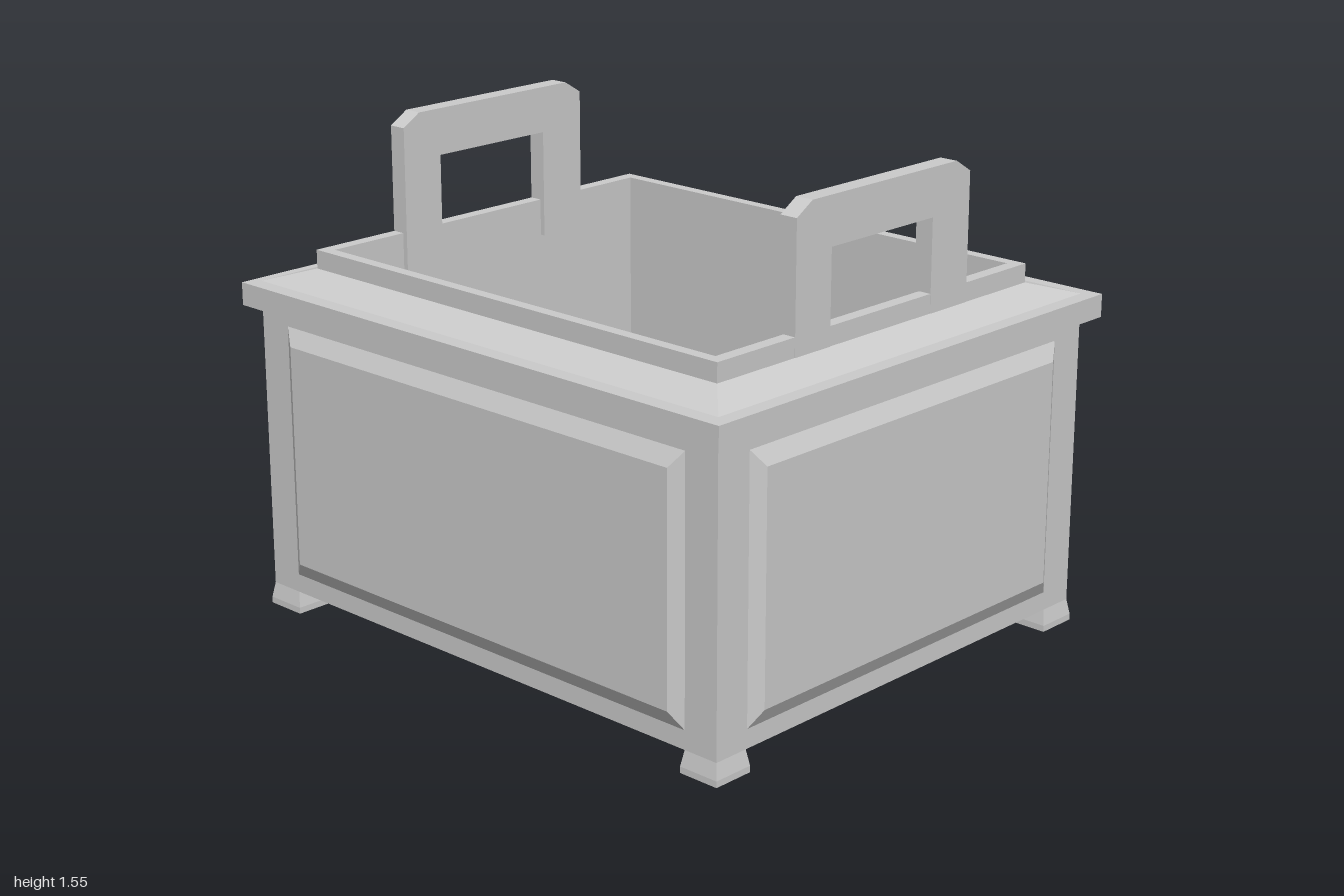
import * as THREE from 'three';

const material = new THREE.MeshStandardMaterial({ color: 0xcccccc, flatShading: true, side: THREE.DoubleSide });

// Skins a stack of rectangles [x0, x1, z0, z1, y], with optional flat ends.
function loft(rects, startCap, endCap) {
  const loops = rects.map(([x0, x1, z0, z1, y]) => [[x0, y, z1], [x1, y, z1], [x1, y, z0], [x0, y, z0]]);
  const pos = [];
  const quad = (a, b, c, d) => pos.push(...a, ...b, ...c, ...a, ...c, ...d);
  for (let k = 0; k < loops.length - 1; k++) {
    const a = loops[k], b = loops[k + 1];
    for (let i = 0; i < 4; i++) {
      const j = (i + 1) % 4;
      quad(a[i], a[j], b[j], b[i]);
    }
  }
  if (startCap) quad(...[...loops[0]].reverse());
  if (endCap) quad(...loops[loops.length - 1]);
  const geo = new THREE.BufferGeometry();
  geo.setAttribute('position', new THREE.Float32BufferAttribute(pos, 3));
  geo.computeVertexNormals();
  return geo;
}

export function createModel() {
  const group = new THREE.Group();
  const add = (name, geo, x = 0, y = 0, z = 0) => {
    const mesh = new THREE.Mesh(geo, material);
    mesh.name = name;
    mesh.position.set(x, y, z);
    group.add(mesh);
    return mesh;
  };

  const CX = -0.01, CZ = -0.008; // centre of the box under the rim
  const BX = 0.96, BZ = 0.815;   // half sizes of the box
  const rect = (hx, hz, y) => [CX - hx, CX + hx, CZ - hz, CZ + hz, y];

  // Outer box walls and underside
  add('body', loft([rect(BX, BZ, 0.07), rect(BX, BZ, 1.0)], true, false));

  // Overhanging rim, sloped shoulder and upright collar
  add('rim', loft([
    rect(BX, BZ, 1.0),
    [-1, 1, -0.863, 0.86, 1.0],
    [-1, 1, -0.863, 0.86, 1.073],
    rect(BX, BZ, 1.073),
    rect(0.84, 0.69, 1.11),
    rect(0.84, 0.69, 1.17),
    rect(0.798, 0.652, 1.17),
  ], false, false));

  // Inside walls and floor
  add('lining', loft([rect(0.798, 0.652, 1.17), rect(0.798, 0.652, 0.11)], false, true));

  // Raised bevelled panels on the four sides
  const panel = (hx) => loft([
    [-hx, hx, -0.41, 0.41, 0],
    [-hx + 0.042, hx - 0.042, -0.358, 0.358, 0.027],
  ], false, true).rotateX(Math.PI / 2);
  add('frontPanel', panel(0.84), CX, 0.54, CZ + BZ);
  add('backPanel', panel(0.84), CX, 0.54, CZ - BZ).rotation.y = Math.PI;
  add('leftPanel', panel(0.69), CX + BX, 0.54, CZ).rotation.y = Math.PI / 2;
  add('rightPanel', panel(0.69), CX - BX, 0.54, CZ).rotation.y = -Math.PI / 2;

  // Flared corner feet
  const sq = (h, y) => [-h, h, -h, h, y];
  const foot = loft([sq(0.069, 0), sq(0.069, 0.02), sq(0.06, 0.07)], true, true);
  for (const sx of [-1, 1]) {
    for (const sz of [-1, 1]) add('foot', foot, CX + sx * (BX - 0.06), 0, CZ + sz * (BZ - 0.06));
  }

  // Upright handles with chamfered top corners, legs reaching down inside the collar
  const outline = [
    [-0.385, 1.05], [-0.235, 1.05], [-0.235, 1.4], [0.215, 1.4], [0.215, 1.05], [0.365, 1.05],
    [0.365, 1.51], [0.3, 1.55], [-0.32, 1.55], [-0.385, 1.51],
  ].map(([z, y]) => new THREE.Vector2(z < -0.3 ? -(z - 0.02) : -z, y));
  const handle = new THREE.ExtrudeGeometry(new THREE.Shape(outline), { depth: 0.06, bevelEnabled: false });
  handle.rotateY(Math.PI / 2); // shape x becomes -z, depth becomes +x
  add('rightHandle', handle, CX - 0.841, 0, 0);
  add('leftHandle', handle, CX + 0.781, 0, 0);

  return group;
}
